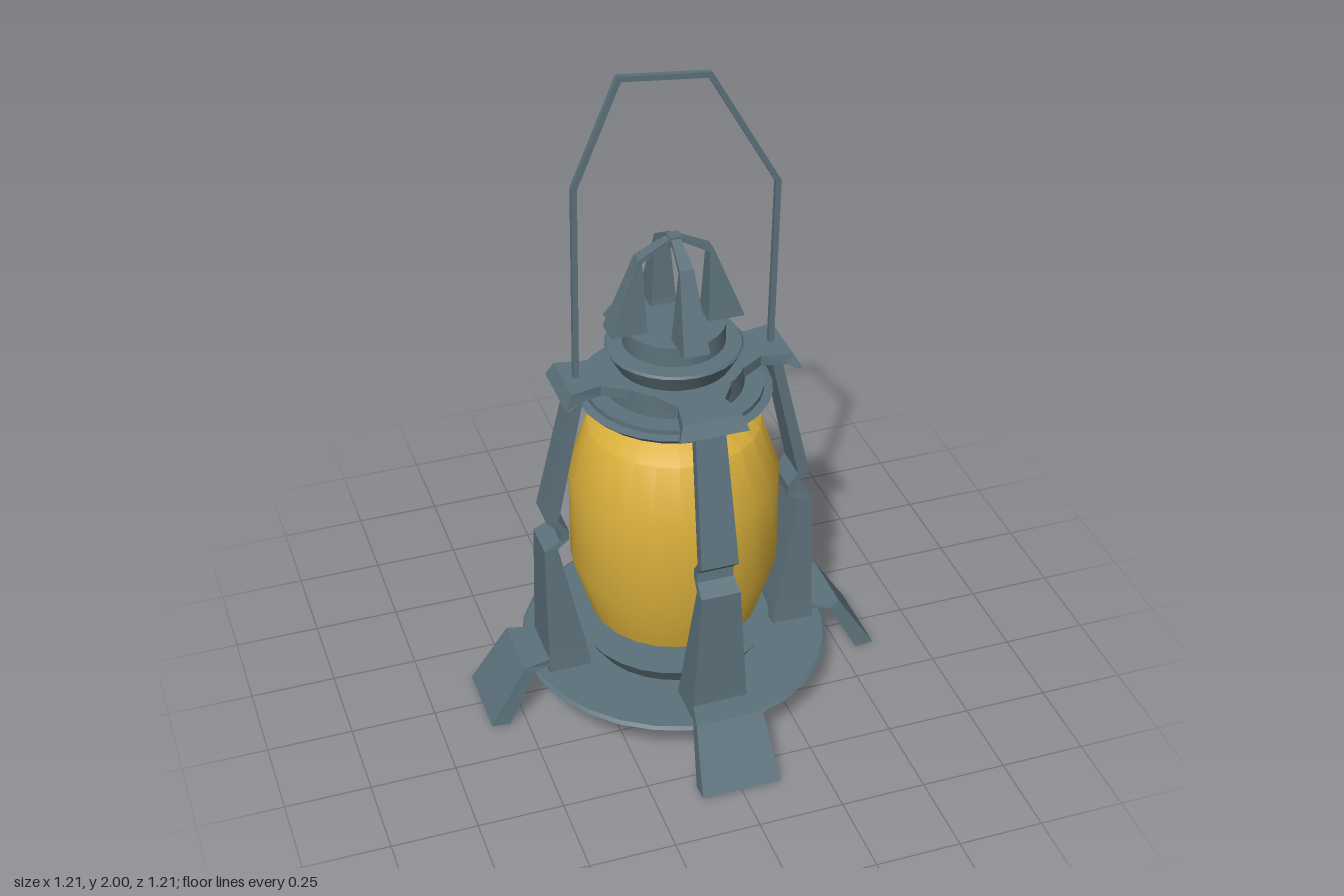
import * as THREE from 'three';
import { toCreasedNormals } from 'three/addons/utils/BufferGeometryUtils.js';

// Flat-shaded bar through sections [outer r, outer y, inner r, inner y, half width];
// r runs along +z, and the outer side lies to the right of travel in the (r, y) plane.
function barGeometry(sections) {
  const loops = sections.map(([ro, yo, ri, yi, w]) => [
    [-w, yo, ro], [w, yo, ro], [w, yi, ri], [-w, yi, ri],
  ]);
  const pos = [];
  const quad = (a, b, c, d) => [a, b, c, a, c, d].forEach((p) => pos.push(...p));
  for (let i = 0; i < loops.length - 1; i++) {
    const lo = loops[i], up = loops[i + 1];
    for (let k = 0; k < 4; k++) {
      const n = (k + 1) % 4;
      quad(lo[k], lo[n], up[n], up[k]);
    }
  }
  const s = loops[0], e = loops[loops.length - 1];
  quad(s[3], s[2], s[1], s[0]);
  quad(e[0], e[1], e[2], e[3]);
  const geo = new THREE.BufferGeometry();
  geo.setAttribute('position', new THREE.Float32BufferAttribute(pos, 3));
  geo.computeVertexNormals();
  return geo;
}

function latheGeometry(profile, segments, crease) {
  const pts = profile.map(([r, y]) => new THREE.Vector2(r, y));
  return toCreasedNormals(new THREE.LatheGeometry(pts, segments), crease);
}

export function createModel() {
  const metal = new THREE.MeshStandardMaterial({ color: 0x5c717b });
  metal.name = 'slate metal';
  const amber = new THREE.MeshStandardMaterial({ color: 0xd9af3b });
  amber.name = 'amber glass';

  const model = new THREE.Group();
  model.name = 'lantern';
  const add = (name, geo, mat, parent = model) => {
    const mesh = new THREE.Mesh(geo, mat);
    mesh.name = name;
    parent.add(mesh);
    return mesh;
  };

  // Glass globe
  add('glass', latheGeometry([
    [0, 0.2], [0.15, 0.2], [0.25, 0.26], [0.305, 0.44],
    [0.305, 0.73], [0.25, 0.9], [0.16, 0.965], [0, 0.965],
  ], 24, 0.65), amber);

  // Base disc with a flared seat for the globe
  add('base', latheGeometry([
    [0, 0.11], [0.435, 0.11], [0.46, 0.125], [0.45, 0.133],
    [0.25, 0.135], [0.285, 0.19], [0, 0.19],
  ], 28, 0.5), metal);

  // Stepped collar and neck
  add('collar', latheGeometry([
    [0, 0.99], [0.26, 0.99], [0.28, 1.01], [0.255, 1.015], [0.255, 1.03],
    [0.2, 1.03], [0.2, 1.1], [0.165, 1.1], [0.195, 1.155], [0.19, 1.162],
    [0.145, 1.165], [0.145, 1.225], [0, 1.23],
  ], 28, 0.5), metal);

  // Four sides: foot, notched post, shoulder bracket and crown strut
  const parts = {
    foot: barGeometry([
      [0.605, 0.005, 0.55, 0, 0.118], [0.495, 0.18, 0.465, 0.158, 0.1],
      [0.4, 0.18, 0.4, 0.158, 0.078],
    ]),
    post: barGeometry([
      [0.415, 0.13, 0.285, 0.13, 0.085], [0.413, 0.19, 0.295, 0.19, 0.08],
      [0.41, 0.56, 0.37, 0.56, 0.058], [0.362, 0.585, 0.335, 0.585, 0.054],
      [0.358, 0.615, 0.335, 0.615, 0.054], [0.4, 0.655, 0.365, 0.655, 0.055],
      [0.305, 1.07, 0.275, 1.07, 0.043],
    ]),
    bracket: barGeometry([
      [0.347, 1.06, 0.335, 1.055, 0.1], [0.325, 1.1, 0.305, 1.068, 0.085],
      [0.235, 1.1, 0.235, 1.068, 0.068], [0.17, 1.1, 0.17, 1.068, 0.11],
    ]),
    crownStrut: barGeometry([
      [0.195, 1.225, 0.088, 1.225, 0.038], [0.188, 1.245, 0.09, 1.245, 0.036],
      [0.108, 1.448, 0.098, 1.437, 0.02], [0.01, 1.498, 0.01, 1.485, 0.013],
    ]),
  };
  for (let i = 0; i < 4; i++) {
    const side = new THREE.Group();
    side.name = 'side' + (i + 1);
    side.rotation.y = (i * Math.PI) / 2;
    for (const [name, geo] of Object.entries(parts)) add(name, geo, metal, side);
    model.add(side);
  }

  // Small knob where the struts meet
  const knob = add('crownKnob', new THREE.BoxGeometry(0.035, 0.03, 0.035), metal);
  knob.position.y = 1.485;

  // Bent wire handle
  const handle = new THREE.Group();
  handle.name = 'handle';
  const path = [[-0.288, 1.08], [-0.28, 1.69], [-0.152, 1.992], [0.1, 1.965], [0.298, 1.615], [0.288, 1.08]];
  for (let i = 0; i < path.length - 1; i++) {
    const [x0, y0] = path[i], [x1, y1] = path[i + 1];
    const len = Math.hypot(x1 - x0, y1 - y0);
    const rod = add('handleRod', new THREE.BoxGeometry(0.016, len + 0.008, 0.016), metal, handle);
    rod.position.set((x0 + x1) / 2, (y0 + y1) / 2, 0);
    rod.rotation.z = Math.atan2(x0 - x1, y1 - y0);
  }
  model.add(handle);

  return model;
}
